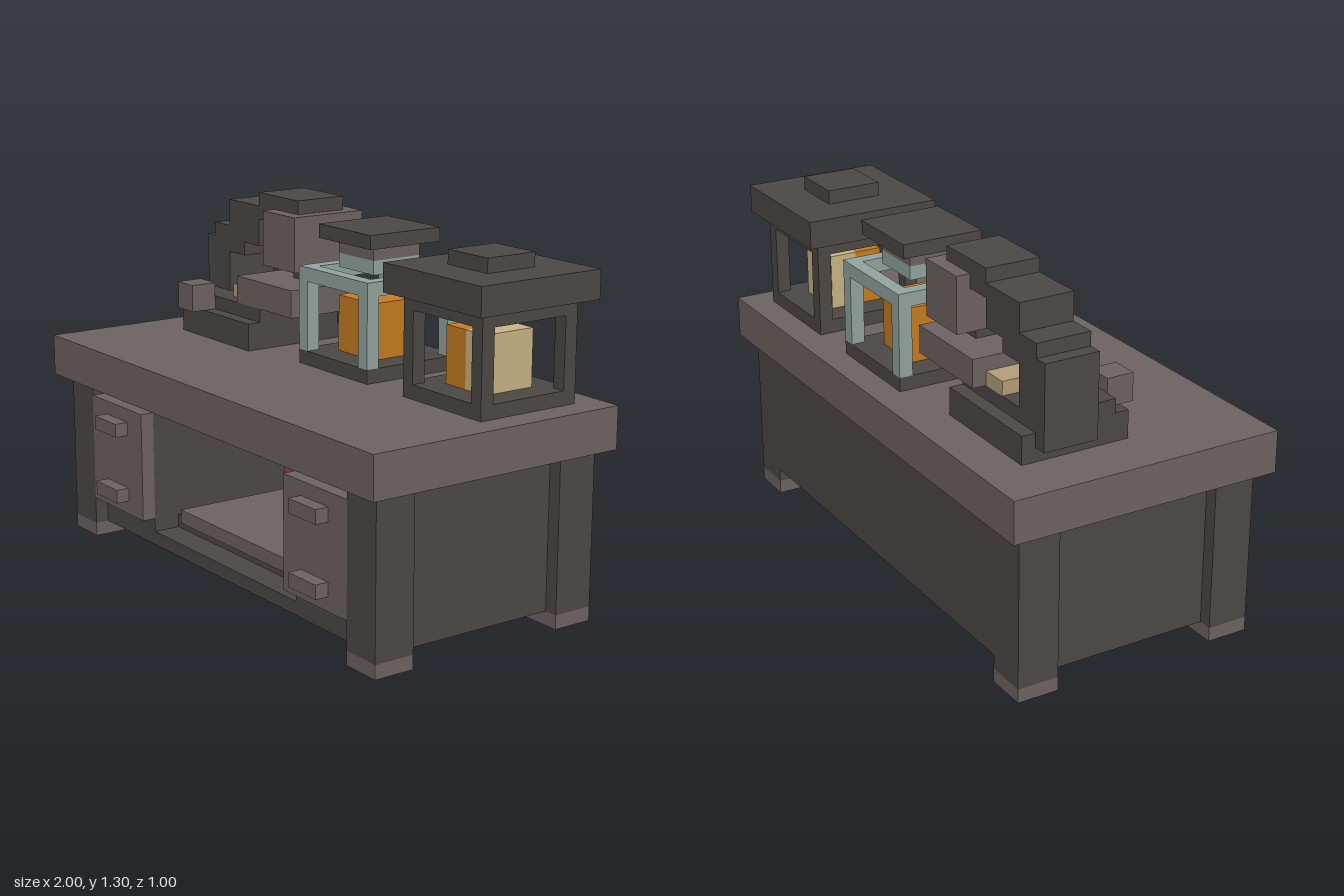
import * as THREE from 'three';

const makeMaterial = (name, color) => {
  const m = new THREE.MeshStandardMaterial({ color });
  m.name = name;
  return m;
};

export function createModel() {
  const dark = makeMaterial('darkWood', 0x4d4947);
  const brown = makeMaterial('brownWood', 0x6f6463);
  const pale = makeMaterial('paleGlass', 0x95a6a1);
  const orange = makeMaterial('orange', 0xc87e22);
  const cream = makeMaterial('cream', 0xcab785);
  const tan = makeMaterial('tan', 0xb79f79);
  const red = makeMaterial('red', 0x9b4439);

  const model = new THREE.Group();
  model.name = 'workbench';
  const group = (name) => {
    const g = new THREE.Group();
    g.name = name;
    model.add(g);
    return g;
  };
  // Box given by its extents on each axis
  const box = (parent, name, mat, [x0, x1], [y0, y1], [z0, z1]) => {
    const mesh = new THREE.Mesh(new THREE.BoxGeometry(x1 - x0, y1 - y0, z1 - z0), mat);
    mesh.position.set((x0 + x1) / 2, (y0 + y1) / 2, (z0 + z1) / 2);
    mesh.name = name;
    parent.add(mesh);
  };
  // Same extents, mirrored to either side
  const side = (s, a, b) => (s > 0 ? [a, b] : [-b, -a]);

  // Desk: top, floor and back
  const desk = group('desk');
  box(desk, 'tableTop', brown, [-1, 1], [0.6, 0.75], [-0.5, 0.5]);
  box(desk, 'floor', dark, [-0.85, 0.85], [0.05, 0.1], [-0.4, 0.4]);
  box(desk, 'backPanel', dark, [-0.8, 0.8], [0.1, 0.6], [-0.45, -0.4]);
  box(desk, 'shelfBase', dark, [-0.45, 0.45], [0.1, 0.15], [-0.4, 0.3]);
  box(desk, 'shelfBoard', brown, [-0.35, 0.4], [0.15, 0.2], [-0.35, 0.35]);

  // Legs, side panels, cabinets and drawers
  for (const s of [-1, 1]) {
    for (const t of [-1, 1]) {
      box(desk, 'leg', dark, side(s, 0.8, 0.95), [0.05, 0.6], side(t, 0.3, 0.45));
      box(desk, 'foot', brown, side(s, 0.8, 0.95), [0, 0.05], side(t, 0.3, 0.45));
    }
    box(desk, 'sidePanel', dark, side(s, 0.85, 0.9), [0.05, 0.6], [-0.3, 0.3]);
    box(desk, 'cabinet', dark, side(s, 0.45, 0.85), [0.1, 0.6], [-0.4, 0.4]);
    box(desk, 'drawerFront', brown, side(s, 0.45, 0.8), [0.15, 0.55], [0.4, 0.45]);
    for (const y of [0.2, 0.45]) {
      box(desk, 'drawerHandle', brown, side(s, 0.55, 0.7), [y, y + 0.05], [0.45, 0.5]);
    }
  }

  // Stored bundle on the shelf
  const bundle = group('storedBundle');
  box(bundle, 'bundleCentre', tan, [-0.05, 0.1], [0.2, 0.45], [-0.3, 0]);
  box(bundle, 'bundleTop', tan, [-0.2, 0.25], [0.45, 0.5], [-0.3, 0]);
  for (const x of [-0.2, 0.1]) {
    box(bundle, 'bundleSide', red, [x, x + 0.15], [0.2, 0.45], [-0.3, 0]);
  }

  // Microscope
  const scope = group('microscope');
  box(scope, 'scopeBase', dark, [-0.8, -0.35], [0.75, 0.85], [-0.35, 0.05]);
  box(scope, 'scopeUpperBase', dark, [-0.8, -0.35], [0.85, 0.9], [-0.3, 0]);
  box(scope, 'scopeKnob', brown, [-0.75, -0.65], [0.85, 0.95], [0, 0.1]);
  box(scope, 'scopeMirror', tan, [-0.6, -0.5], [0.9, 0.95], [-0.3, -0.05]);
  box(scope, 'scopeStage', brown, [-0.5, -0.15], [0.9, 1], [-0.35, 0]);
  const armSteps = [
    [[-0.85, -0.7], [0.8, 1.1]],
    [[-0.8, -0.6], [1.05, 1.15]],
    [[-0.7, -0.5], [1.1, 1.25]],
    [[-0.5, -0.25], [1.2, 1.3]],
  ];
  for (const [x, y] of armSteps) box(scope, 'scopeArm', dark, x, y, [-0.3, -0.1]);
  box(scope, 'scopeTube', brown, [-0.4, -0.2], [1.05, 1.25], [-0.35, -0.05]);
  box(scope, 'scopeLens', dark, [-0.35, -0.25], [1, 1.05], [-0.25, -0.15]);

  // Open square frame: four posts and a top ring, 0.4 wide, starting at x
  const frame = (parent, mat, x) => {
    for (const px of [x, x + 0.35]) {
      for (const pz of [-0.4, -0.05]) {
        box(parent, 'post', mat, [px, px + 0.05], [0.8, 1.05], [pz, pz + 0.05]);
      }
      box(parent, 'ringSide', mat, [px, px + 0.05], [1.05, 1.1], [-0.4, 0]);
    }
    for (const pz of [-0.4, -0.05]) {
      box(parent, 'ringBar', mat, [x + 0.05, x + 0.35], [1.05, 1.1], [pz, pz + 0.05]);
    }
  };

  // Specimen jar
  const jar = group('jar');
  box(jar, 'jarBase', dark, [-0.1, 0.3], [0.75, 0.8], [-0.4, 0]);
  frame(jar, pale, -0.1);
  box(jar, 'jarContents', orange, [0, 0.2], [0.8, 1], [-0.3, -0.1]);
  box(jar, 'jarNeck', pale, [0, 0.2], [1.1, 1.15], [-0.3, -0.1]);
  box(jar, 'jarCollar', brown, [0, 0.2], [1.15, 1.2], [-0.3, -0.1]);
  box(jar, 'jarLid', dark, [-0.05, 0.25], [1.2, 1.25], [-0.35, -0.05]);

  // Lantern
  const lantern = group('lantern');
  box(lantern, 'lanternBase', dark, [0.5, 0.9], [0.75, 0.8], [-0.4, 0]);
  frame(lantern, dark, 0.5);
  box(lantern, 'candleSide', cream, [0.7, 0.8], [0.8, 1], [-0.3, -0.1]);
  box(lantern, 'candleBack', cream, [0.6, 0.7], [0.8, 1], [-0.3, -0.2]);
  box(lantern, 'candleGlow', orange, [0.6, 0.7], [0.8, 1], [-0.2, -0.1]);
  box(lantern, 'lanternRoof', dark, [0.45, 0.95], [1.1, 1.2], [-0.45, 0.05]);
  box(lantern, 'lanternCap', dark, [0.6, 0.8], [1.2, 1.25], [-0.3, -0.1]);

  return model;
}
